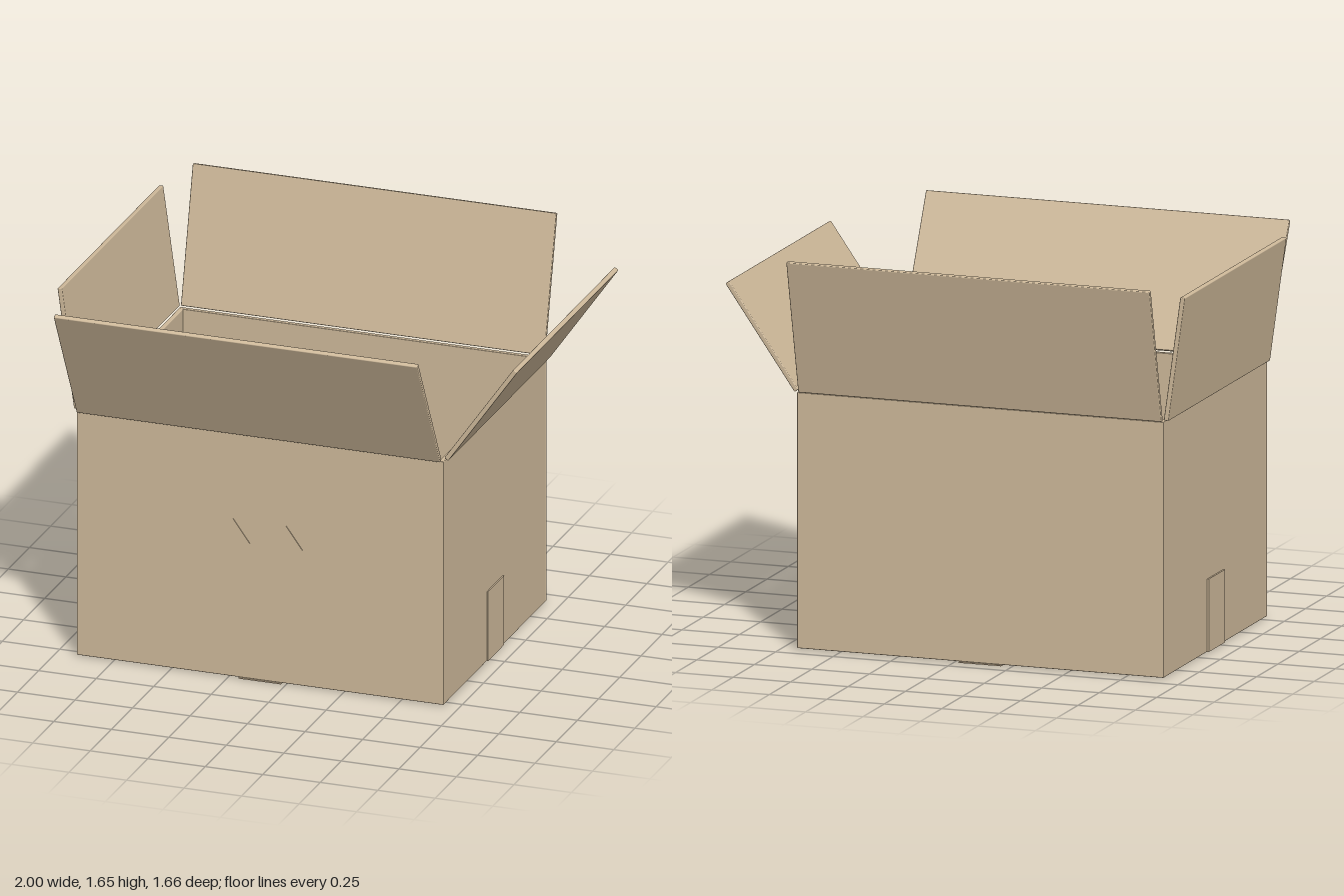
import * as THREE from 'three';
import { RoundedBoxGeometry } from 'three/addons/geometries/RoundedBoxGeometry.js';

const cardboard = new THREE.MeshStandardMaterial({ color: 0xcdb899 });
cardboard.name = 'cardboard';

export function createModel() {
  const model = new THREE.Group();
  model.name = 'openCardboardBox';

  const add = (name, geometry, x = 0, y = 0, z = 0) => {
    const mesh = new THREE.Mesh(geometry, cardboard);
    mesh.name = name;
    mesh.position.set(x, y, z);
    model.add(mesh);
    return mesh;
  };

  // Panel given by its min and max corners; bevel softens the cut edges
  const panel = (name, a, b, bevel = 0.003) => {
    const s = a.map((v, i) => b[i] - v);
    const c = a.map((v, i) => (b[i] + v) / 2);
    const geometry = bevel
      ? new RoundedBoxGeometry(s[0], s[1], s[2], 2, bevel)
      : new THREE.BoxGeometry(...s);
    return add(name, geometry, ...c);
  };

  // Walls and floor
  const top = 1.075, base = 0.005;
  panel('frontWall', [-0.91, base, 0.525], [0.685, top, 0.545]);
  panel('backWall', [-0.91, base, -0.675], [0.685, top, -0.655]);
  panel('leftWall', [0.664, base, -0.657], [0.684, top, 0.527]);
  panel('rightWall', [-0.909, base, -0.657], [-0.889, top, 0.527]);
  panel('floor', [-0.907, base, -0.672], [0.682, base + 0.02, 0.542]);

  // Flaps: each runs from its hinge to its tip, tilted outward
  const thickness = 0.02;
  const flap = (name, alongX, width, mid, hinge, tip) => {
    const du = tip[0] - hinge[0], dy = tip[1] - hinge[1];
    const length = Math.hypot(du, dy), tilt = Math.atan2(du, dy);
    const u = (hinge[0] + tip[0]) / 2, y = (hinge[1] + tip[1]) / 2;
    const size = alongX ? [width, length, thickness] : [thickness, length, width];
    const geometry = new RoundedBoxGeometry(...size, 2, 0.004);
    const mesh = add(name, geometry, alongX ? mid : u, y, alongX ? u : mid);
    if (alongX) mesh.rotation.x = tilt;
    else mesh.rotation.z = -tilt;
  };
  flap('frontFlap', true, 1.58, -0.115, [0.551, 1.08], [0.824, 1.602]);
  flap('backFlap', true, 1.58, -0.115, [-0.679, 1.08], [-0.82, 1.652]);
  flap('leftFlap', false, 1.2, -0.07, [0.69, 1.08], [0.991, 1.51]);
  flap('rightFlap', false, 1.2, -0.07, [-0.918, 1.08], [-0.99, 1.6]);

  // Tape under the floor and up both sides
  panel('bottomTape', [-0.205, 0, -0.681], [-0.02, 0.005, 0.55], 0);
  panel('leftTape', [0.684, 0.005, -0.16], [0.689, 0.31, 0.03], 0);
  panel('rightTape', [-0.916, 0.005, -0.16], [-0.909, 0.31, 0.03], 0);

  // Two raised "this way up" arrows on the front
  for (const x of [-0.23, 0]) {
    const arrow = new THREE.Shape([
      [-0.02, 0.41], [0.02, 0.41], [0.02, 0.6], [0.073, 0.6],
      [0, 0.7], [-0.073, 0.6], [-0.02, 0.6],
    ].map(([px, py]) => new THREE.Vector2(px, py)));
    const geometry = new THREE.ExtrudeGeometry(arrow, { depth: 0.004, bevelEnabled: false });
    add('upArrow', geometry, x, 0, 0.545);
  }

  return model;
}
